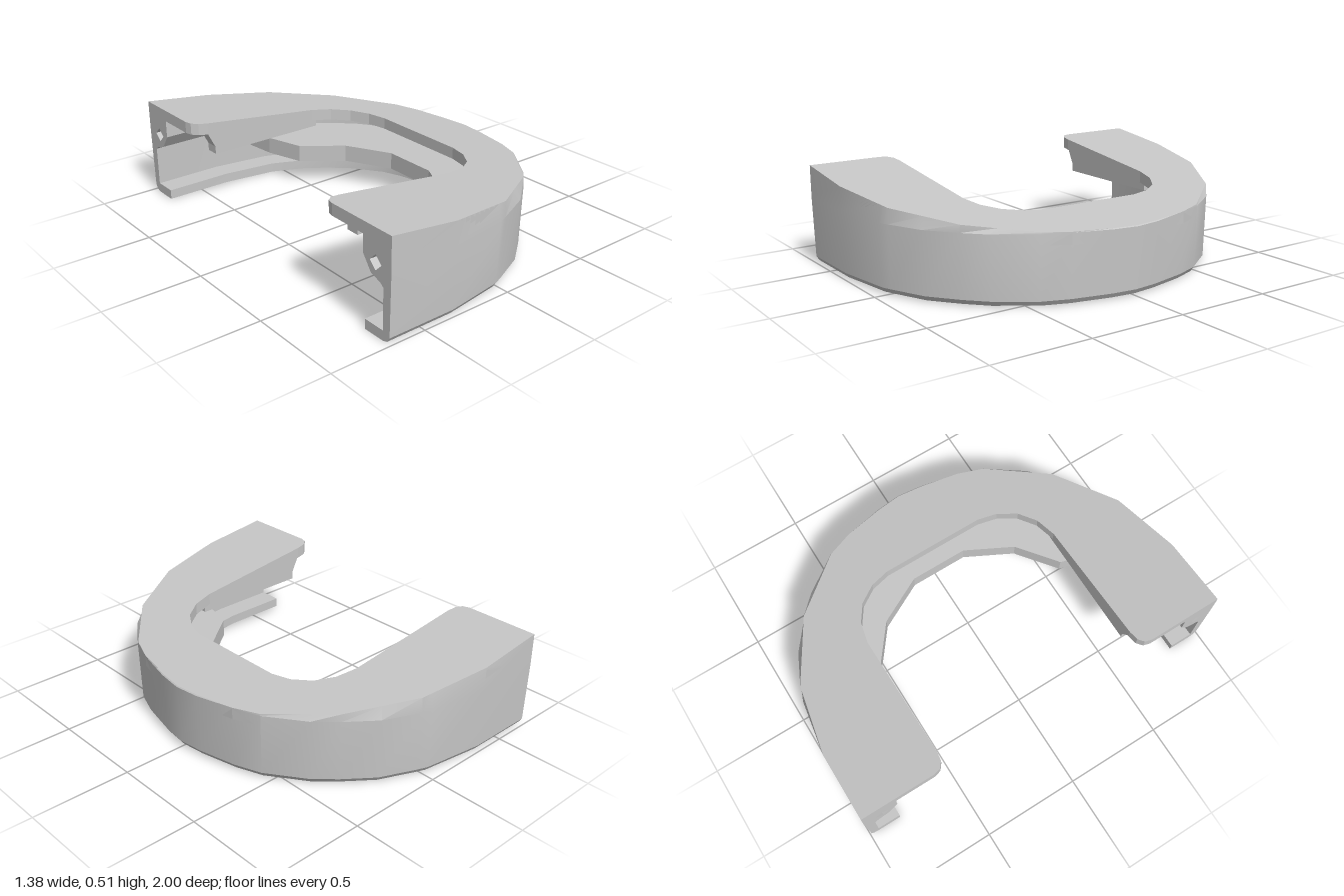
import * as THREE from 'three';
import { toCreasedNormals } from 'three/addons/utils/BufferGeometryUtils.js';

const topY = (x) => 0.425 - 0.123 * x; // sloping upper plane
const mirrorPath = (half) => [...half, ...half.filter((p) => p[1] > 0).reverse().map(([x, z]) => [x, -z])];
const toShape = (pts) => new THREE.Shape(pts.map(([x, y]) => new THREE.Vector2(x, y)));

// Plan outlines (x, z), from the +z arm end round the front to the -z arm end
const outer = mirrorPath([[-0.69, 1], [-0.33, 1], [-0.02, 0.955], [0.03, 0.935], [0.21, 0.855], [0.35, 0.745],
  [0.45, 0.65], [0.58, 0.465], [0.63, 0.33], [0.675, 0.13], [0.69, 0]]);
const topEdge = mirrorPath([[-0.69, 1], [-0.33, 1], [-0.02, 0.94], [0.03, 0.93], [0.19, 0.835], [0.35, 0.74],
  [0.455, 0.612], [0.58, 0.46], [0.63, 0.33], [0.67, 0.13], [0.685, 0]]);
const topInner = mirrorPath([[-0.69, 0.61], [-0.68, 0.575], [-0.65, 0.552], [-0.6, 0.545], [0.05, 0.545],
  [0.16, 0.52], [0.25, 0.46], [0.31, 0.37], [0.335, 0.27]]);
const shelfInner = mirrorPath([[-0.04, 0.545], [0.16, 0.39], [0.285, 0.15]]);
const shelfOuter = mirrorPath([[-0.1, 0.75], [-0.12, 0.93], [0.02, 0.9], [0.2, 0.82], [0.33, 0.71],
  [0.43, 0.61], [0.55, 0.44], [0.6, 0.32], [0.65, 0]]);

// Inward mitred normal at each outline point
function inwardNormals(path) {
  const edge = (i) => {
    const dx = path[i + 1][0] - path[i][0], dz = path[i + 1][1] - path[i][1], l = Math.hypot(dx, dz);
    return [dz / l, -dx / l];
  };
  return path.map((_, i) => {
    const a = edge(Math.max(i - 1, 0)), b = edge(Math.min(i, path.length - 2));
    const x = a[0] + b[0], z = a[1] + b[1], k = 2 / (x * x + z * z);
    return [x * k, z * k];
  });
}

// Outer wall with its rounded foot and narrow bottom lip, swept as one section
function shellGeometry() {
  const normals = inwardNormals(outer);
  const rings = outer.map(([x, z], i) => {
    const at = (d, y) => [x + normals[i][0] * d, y, z + normals[i][1] * d];
    const [tx, tz] = topEdge[i];
    return [at(0.05, 0), at(0.024, 0.008), at(0.008, 0.032), at(0, Math.min(0.345, topY(x) - 0.004)),
      [tx, topY(tx), tz], at(0.05, topY(x) - 0.035), at(0.05, 0.05), at(0.17, 0.05), at(0.17, 0)];
  });
  const n = rings[0].length, last = rings.length - 1, positions = [];
  for (let i = 0; i < last; i++) {
    for (let j = 0; j < n; j++) {
      const k = (j + 1) % n;
      const a = rings[i][j], b = rings[i + 1][j], c = rings[i + 1][k], d = rings[i][k];
      positions.push(...a, ...b, ...c, ...a, ...c, ...d);
    }
  }
  // End caps
  const section = rings[0].map(([, y, z]) => new THREE.Vector2(1 - z, y));
  section.reverse();
  for (const [a, b, c] of THREE.ShapeUtils.triangulateShape(section, [])) {
    const at = (r, s) => rings[r][n - 1 - s];
    positions.push(...at(0, a), ...at(0, c), ...at(0, b), ...at(last, a), ...at(last, b), ...at(last, c));
  }
  const g = new THREE.BufferGeometry();
  g.setAttribute('position', new THREE.Float32BufferAttribute(positions, 3));
  return toCreasedNormals(g, 0.45);
}

// Horizontal slab from a plan outline, from y = 0 up
function slab(outline, thickness) {
  const g = new THREE.ExtrudeGeometry(toShape(outline.map(([x, z]) => [x, -z])), { depth: thickness, bevelEnabled: false });
  return g.rotateX(-Math.PI / 2);
}

// Moves each vertex height by a rule of x and y
function reshapeY(geometry, rule) {
  const p = geometry.attributes.position;
  for (let i = 0; i < p.count; i++) p.setY(i, rule(p.getX(i), p.getY(i)));
  geometry.computeVertexNormals();
  return geometry;
}

export function createModel() {
  const model = new THREE.Group();
  model.name = 'horseshoeHousing';
  const grey = new THREE.MeshStandardMaterial({ color: 0xc6c6c6, side: THREE.DoubleSide });
  grey.name = 'light grey';
  const add = (name, geometry) => {
    const mesh = new THREE.Mesh(geometry, grey);
    mesh.name = name;
    model.add(mesh);
    return mesh;
  };

  add('outerShell', shellGeometry());

  // Sloping top plate
  const plate = slab([...topEdge, ...topInner.slice().reverse()], 0.06);
  add('topPlate', reshapeY(plate, (x, y) => y - 0.06 + topY(x)));

  // Inner shelf round the front
  add('innerShelf', slab([...shelfOuter, ...shelfInner.slice().reverse()], 0.09)).position.y = 0.14;

  for (const side of [1, -1]) {
    const name = side > 0 ? 'left' : 'right';

    // Gusset under the plate with a diamond socket, running from the arm end to the shelf
    const gusset = toShape([[0.955, 0.44], [0.82, 0.44], [0.82, 0.36], [0.87, 0.29], [0.93, 0.27], [0.955, 0.25]]
      .map(([z, y]) => [z * side, y]));
    gusset.holes.push(new THREE.Path([[0.9, 0.387], [0.938, 0.35], [0.9, 0.313], [0.862, 0.35]]
      .map(([z, y]) => new THREE.Vector2(z * side, y))));
    const gussetGeometry = new THREE.ExtrudeGeometry(gusset, { depth: 0.59, bevelEnabled: false });
    gussetGeometry.rotateY(-Math.PI / 2).translate(-0.1, 0, 0);
    add(name + 'Gusset', reshapeY(gussetGeometry, (x, y) => (y > 0.4 ? topY(x) - 0.03 : y)));

    // Narrow rib hanging from the inner edge of the arm
    const rib = toShape([[-0.61, 0.46], [-0.58, 0.4], [-0.56, 0.36], [-0.56, 0.32], [0.08, 0.32], [0.08, 0.38]]);
    const ribGeometry = new THREE.ExtrudeGeometry(rib, { depth: 0.07, bevelEnabled: false });
    add(name + 'Rib', ribGeometry).position.z = side > 0 ? 0.55 : -0.62;
  }
  return model;
}
